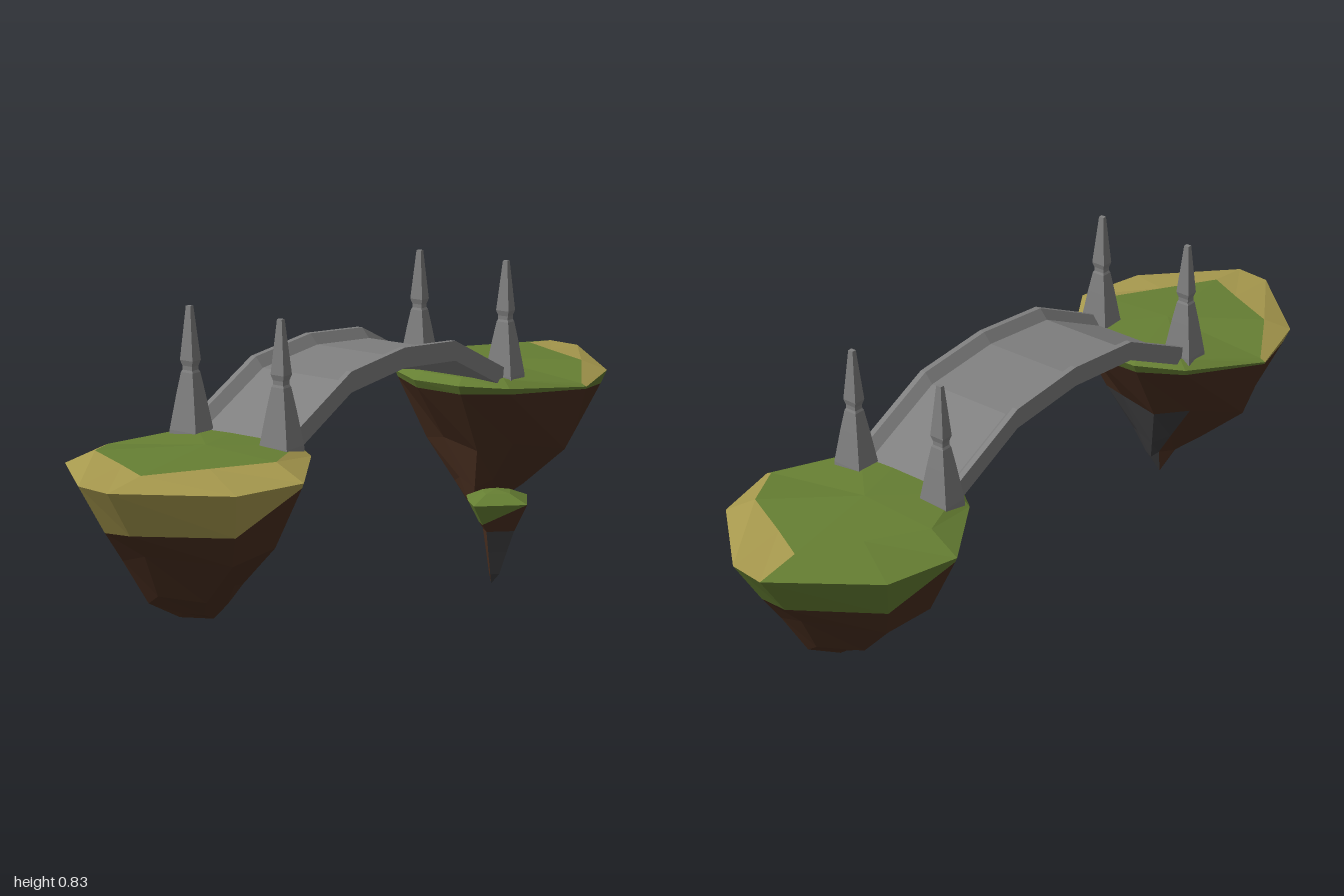
import * as THREE from 'three';

const GREEN = 0x667f33, STRAW = 0xa89a4e, EARTH = 0x4a2f20, SLATE = 0x3c3c3e, STONE = 0x808080;

const material = (color) => new THREE.MeshStandardMaterial({ color, flatShading: true });
const v = (x, y, z) => new THREE.Vector3(x, y, z);

// Collects triangles by part name, then makes one faceted mesh per part.
class FacetBuilder {
  constructor() { this.parts = {}; }

  tri(name, a, b, c) {
    if (a.equals(b) || b.equals(c) || a.equals(c)) return;
    (this.parts[name] ??= []).push(a, b, c);
  }

  // Joins an upper (or inner) ring to a lower (or outer) ring.
  band(upper, lower, nameOf) {
    const n = upper.length;
    for (let j = 0; j < n; j++) {
      const k = (j + 1) % n;
      this.tri(nameOf(j), upper[j], lower[j], lower[k]);
      this.tri(nameOf(j), upper[j], lower[k], upper[k]);
    }
  }

  build(groupName, colors) {
    const group = new THREE.Group();
    group.name = groupName;
    for (const [name, points] of Object.entries(this.parts)) {
      const geometry = new THREE.BufferGeometry().setFromPoints(points);
      geometry.computeVertexNormals();
      const mesh = new THREE.Mesh(geometry, material(colors[name]));
      mesh.name = name;
      group.add(mesh);
    }
    return group;
  }
}

const LAND_COLORS = { grass: GREEN, dryGrass: STRAW, earth: EARTH, darkRock: SLATE };
const lerpRings = (a, b, t) => a.map((p, j) => p.clone().lerp(b[j], t[j]));
const repeat = (p, n) => Array.from({ length: n }, () => p);

// Large floating island: domed grass cap, hanging turf edge, tapering earth.
function makeIsland(name, isDryTop, isDryEdge, hasDarkRock) {
  const rim = [
    [-0.305, 0.493, 0.62], [-0.255, 0.498, 0.81], [-0.05, 0.512, 0.99], [0.045, 0.512, 1.0], [0.26, 0.498, 0.81],
    [0.305, 0.495, 0.62], [0.19, 0.505, 0.44], [0.07, 0.51, 0.355], [-0.07, 0.51, 0.36], [-0.185, 0.505, 0.43],
  ].map((p) => v(...p));
  const inner = [
    [-0.29, 0.62], [-0.2, 0.765], [-0.06, 0.83], [0.04, 0.88], [0.125, 0.74],
    [0.21, 0.6], [0.15, 0.44], [0.06, 0.39], [-0.06, 0.39], [-0.16, 0.44],
  ].map(([x, z], j) => v(x, j === 0 ? 0.5 : 0.527, z));
  const n = rim.length;

  // Lower cross-sections shrink the rim: height, half width, z centre, half depth.
  const section = (y, rx, cz, rz, wobble) => rim.map((p, j) =>
    v(p.x / 0.305 * rx, y + (j % 2 ? wobble : -wobble), cz + (p.z - 0.678) / 0.322 * rz));
  const shoulder = section(0.39, 0.265, 0.67, 0.25, 0.004);
  const skirt = lerpRings(rim, shoulder, [0.06, 0.35, 1, 1, 1, 0.12, 0.15, 0.2, 0.2, 0.15]);
  const levels = [
    skirt,
    section(0.32, 0.232, 0.67, 0.195, 0.012),
    section(0.205, 0.105, 0.655, 0.145, 0.012),
    section(0.142, 0.035, 0.615, 0.085, 0.006),
    repeat(v(-0.025, 0.09, 0.55), n),
  ];

  const b = new FacetBuilder();
  b.band(repeat(v(0, 0.537, 0.6), n), inner, () => 'grass');
  b.band(inner, rim, (j) => (isDryTop(j) ? 'dryGrass' : 'grass'));
  b.band(rim, skirt, (j) => (isDryEdge(j) ? 'dryGrass' : 'grass'));
  for (let i = 0; i < levels.length - 1; i++) {
    b.band(levels[i], levels[i + 1], (j) =>
      (hasDarkRock && i > 0 && j >= 6 && j <= 8 ? 'darkRock' : 'earth'));
  }
  return b.build(name, LAND_COLORS);
}

// Small spike-shaped floating rock beside the bridge.
function makeSmallRock() {
  const rim = [
    [0.125, -0.32], [0.16, -0.275], [0.205, -0.235], [0.308, -0.33], [0.25, -0.42], [0.18, -0.4], [0.15, -0.37],
  ].map(([x, z]) => v(x, 0.232, z));
  const n = rim.length;
  const section = (y, s, cx) => rim.map((p) => v(cx + (p.x - 0.21) * s, y, -0.33 + (p.z + 0.33) * s));
  const skirt = lerpRings(rim, section(0.17, 0.62, 0.215), [0.15, 0.95, 0.9, 0, 0.1, 0.2, 0.15]);
  const levels = [
    skirt, section(0.155, 0.52, 0.218), section(0.095, 0.35, 0.213),
    section(0.03, 0.17, 0.208), repeat(v(0.2, 0, -0.33), n),
  ];
  const b = new FacetBuilder();
  b.band(repeat(v(0.21, 0.26, -0.33), n), section(0.254, 0.45, 0.21), () => 'grass');
  b.band(section(0.254, 0.45, 0.21), rim, () => 'grass');
  b.band(rim, skirt, () => 'grass');
  for (let i = 0; i < levels.length - 1; i++) {
    b.band(levels[i], levels[i + 1], (j) => (i > 0 && (j === 2 || j === 4) ? 'darkRock' : 'earth'));
  }
  return b.build('smallFloatingRock', LAND_COLORS);
}

// Arched deck with raised curbs: one cross-section carried over five stations.
function makeBridge() {
  const half = [[0.155, -0.052], [0.155, 0], [0.14, 0], [0.118, -0.026]];
  const outline = [...half, ...half.map(([x, y]) => [-x, y]).reverse()];
  const shape = new THREE.Shape(outline.map(([x, y]) => new THREE.Vector2(x, y)));
  const geometry = new THREE.ExtrudeGeometry(shape, { depth: 4, steps: 4, bevelEnabled: false });
  const stations = [[-0.465, 0.55], [-0.225, 0.665], [0, 0.686], [0.225, 0.665], [0.465, 0.55]];
  const pos = geometry.attributes.position;
  for (let i = 0; i < pos.count; i++) {
    const [z, y] = stations[Math.round(pos.getZ(i))];
    pos.setY(i, pos.getY(i) + y);
    pos.setZ(i, z);
  }
  geometry.computeVertexNormals();
  const mesh = new THREE.Mesh(geometry, material(STONE));
  mesh.name = 'bridgeDeck';
  return mesh;
}

// Four-sided pillar: flared foot, pinched neck, pointed spire.
function makePillar() {
  const profile = [
    [0, 0.49], [0.042, 0.5], [0.041, 0.53], [0.027, 0.62], [0.018, 0.672], [0.015, 0.678],
    [0.015, 0.688], [0.0195, 0.702], [0.007, 0.834], [0, 0.834],
  ].map(([w, y]) => new THREE.Vector2(w * Math.SQRT2, y));
  const geometry = new THREE.LatheGeometry(profile, 4);
  geometry.rotateY(Math.PI / 4);
  geometry.scale(1, 1, 0.82);
  const mesh = new THREE.Mesh(geometry, material(STONE));
  mesh.name = 'pillar';
  return mesh;
}

export function createModel() {
  const model = new THREE.Group();
  model.name = 'floatingIslandBridge';

  const front = makeIsland('frontIsland', (j) => j <= 5, (j) => j <= 4, true);
  const back = makeIsland('backIsland', (j) => j <= 2, () => false, false);
  back.rotation.y = Math.PI;
  model.add(front, back, makeSmallRock());

  // Bridge and its corner pillars sit slightly off the centre line
  const crossing = new THREE.Group();
  crossing.name = 'crossing';
  crossing.position.x = -0.005;
  crossing.add(makeBridge());
  for (const x of [-0.138, 0.138]) {
    for (const z of [-0.485, 0.48]) {
      const pillar = makePillar();
      pillar.position.set(x, 0, z);
      crossing.add(pillar);
    }
  }
  model.add(crossing);
  return model;
}
